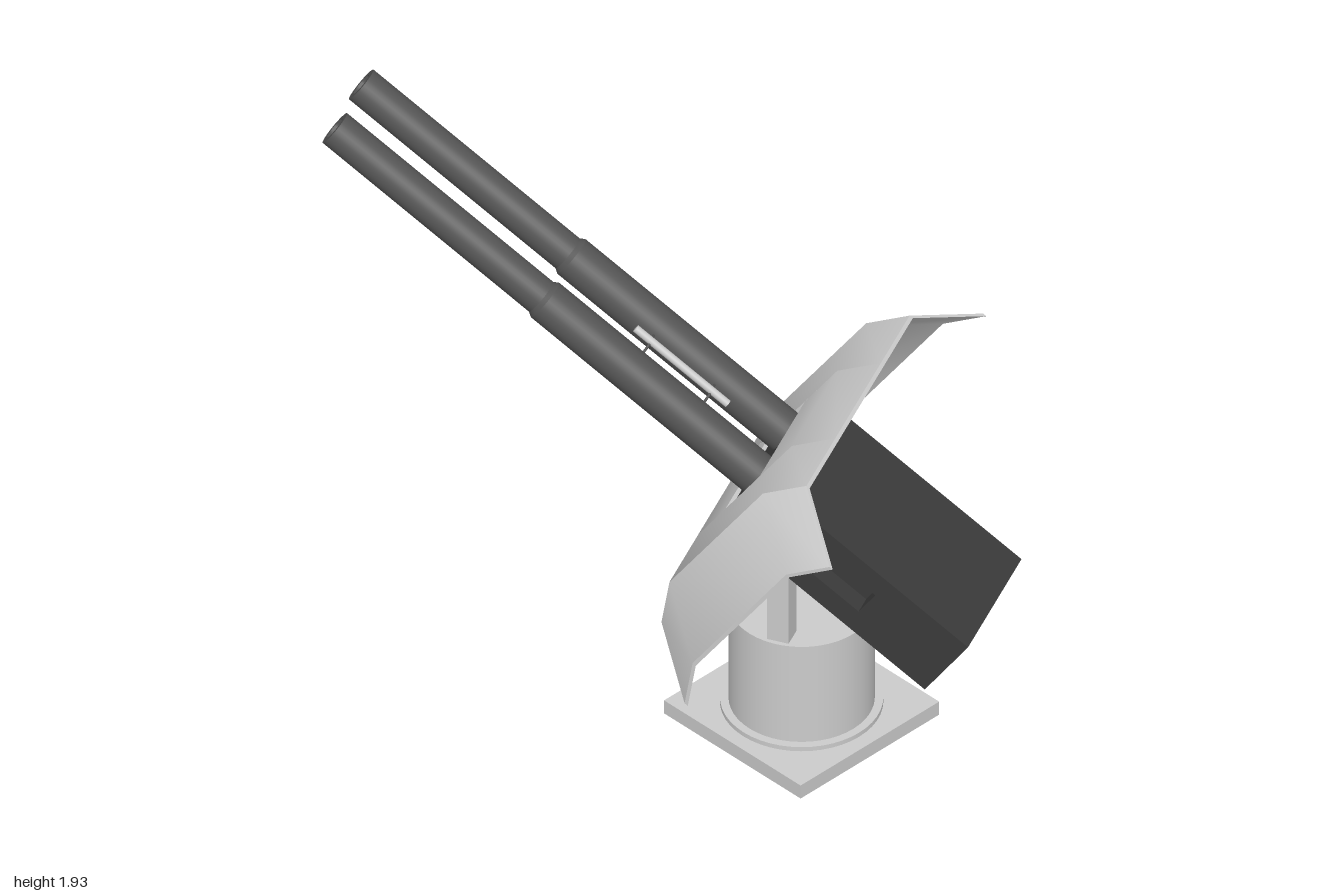
import * as THREE from 'three';
import { toCreasedNormals } from 'three/addons/utils/BufferGeometryUtils.js';

const grey = new THREE.MeshStandardMaterial({ color: 0xcccccc });
const plate = new THREE.MeshStandardMaterial({ color: 0xcccccc, side: THREE.DoubleSide });
const barrelDark = new THREE.MeshStandardMaterial({ color: 0x555555 });
const boxDark = new THREE.MeshStandardMaterial({ color: 0x3a3a3a });

function add(parent, name, geometry, material, x = 0, y = 0, z = 0) {
  const mesh = new THREE.Mesh(geometry, material);
  mesh.name = name;
  mesh.position.set(x, y, z);
  parent.add(mesh);
  return mesh;
}

// Side outline (z, y) extruded across from x0 to x1
function across(shape, x0, x1) {
  return new THREE.ExtrudeGeometry(shape, { depth: x1 - x0, bevelEnabled: false })
    .rotateY(-Math.PI / 2).translate(x1, 0, 0);
}

// Thin bent sheet following a list of (z, y) points
function sheet(points, x0, x1) {
  const outer = points.map(([z, y]) => new THREE.Vector2(z, y));
  const inner = points.map(([z, y]) => new THREE.Vector2(z - 0.01, y - 0.007)).reverse();
  return across(new THREE.Shape([...outer, ...inner]), x0, x1);
}

const rect = (Type, u0, u1, v0, v1) => new Type([
  new THREE.Vector2(u0, v0), new THREE.Vector2(u1, v0),
  new THREE.Vector2(u1, v1), new THREE.Vector2(u0, v1)]);

function buildBase() {
  const base = new THREE.Group();
  base.name = 'base';
  const disc = (name, r, y0, y1) =>
    add(base, name, new THREE.CylinderGeometry(r, r, y1 - y0, 48), grey, 0, (y0 + y1) / 2, 0);
  disc('footDisc', 0.238, 0, 0.022);
  add(base, 'squarePlate', new THREE.BoxGeometry(0.566, 0.048, 0.566), grey, 0, 0.046, 0);
  disc('baseRing', 0.238, 0.07, 0.085);
  disc('pedestal', 0.213, 0.085, 0.435);
  return base;
}

function buildShield() {
  const shield = new THREE.Group();
  shield.name = 'shield';
  const [a, b, c, d] = [[0.275, 0.6], [0.25, 0.755], [-0.04, 1.16], [-0.175, 1.225]];
  const low = [0.166, 0.872], high = [0.06, 1.02];
  const panel = (name, points, x0, x1) =>
    add(shield, name, toCreasedNormals(sheet(points, x0, x1), 0.6), plate);

  // Centre panel, leaving a slot for the barrels
  panel('shieldRight', [a, b, c, d], -0.43, -0.19);
  panel('shieldLeft', [a, b, c, d], 0.19, 0.43);
  panel('shieldBelowSlot', [a, b, low], -0.19, 0.19);
  panel('shieldAboveSlot', [high, c, d], -0.19, 0.19);

  // Wings swept back and down
  for (const side of [-1, 1]) {
    const g = side > 0 ? sheet([a, b, c, d], 0.43, 0.64) : sheet([a, b, c, d], -0.64, -0.43);
    const p = g.attributes.position;
    for (let i = 0; i < p.count; i++) {
      const t = (Math.abs(p.getX(i)) - 0.43) / 0.21;
      p.setY(i, p.getY(i) - 0.105 * t);
      p.setZ(i, p.getZ(i) - 0.15 * t);
    }
    add(shield, side > 0 ? 'wingLeft' : 'wingRight', toCreasedNormals(g, 0.6), plate);
  }
  return shield;
}

function buildGun() {
  const gun = new THREE.Group();
  gun.name = 'gun';

  // Breech box with a recessed slot in each side
  add(gun, 'breechCore', across(rect(THREE.Shape, -0.671, 0.1, -0.147, 0.087), -0.16, 0.16), boxDark);
  for (const [x0, x1] of [[-0.223, -0.16], [0.16, 0.223]]) {
    const side = rect(THREE.Shape, -0.671, 0.1, -0.147, 0.087);
    side.holes.push(rect(THREE.Path, -0.37, 0, -0.075, 0.015));
    add(gun, 'breechSide', across(side, x0, x1), boxDark);
  }

  // Twin hollow barrels with thicker sleeves
  const profile = [[0, 0.05], [0.065, 0.05], [0.065, 0.915], [0.056, 0.93], [0.056, 1.712],
    [0.036, 1.712], [0.036, 1.5], [0, 1.5]].map(([r, u]) => new THREE.Vector2(r, u));
  const barrel = toCreasedNormals(new THREE.LatheGeometry(profile, 32).rotateX(Math.PI / 2), 0.5);
  for (const x of [-0.11, 0.11]) add(gun, 'barrel', barrel, barrelDark, x, -0.01, 0);

  // Sight rod held between the barrels by thin struts
  add(gun, 'sightRod', new THREE.CylinderGeometry(0.012, 0.012, 0.35, 16).rotateX(Math.PI / 2),
    grey, 0, 0.03, 0.475);
  for (const z of [0.36, 0.59]) {
    for (const s of [-1, 1]) {
      const path = new THREE.LineCurve3(new THREE.Vector3(0, 0.03, z), new THREE.Vector3(s * 0.06, 0.005, z));
      add(gun, 'sightStrut', new THREE.TubeGeometry(path, 1, 0.004, 8), barrelDark);
    }
  }
  return gun;
}

export function createModel() {
  const model = new THREE.Group();
  model.name = 'gunTurret';
  model.position.set(0.36, 0, -0.01);
  model.add(buildBase());

  // Everything above the pedestal turns together
  const turret = new THREE.Group();
  turret.name = 'turret';
  turret.rotation.y = THREE.MathUtils.degToRad(-65);
  model.add(turret);
  for (const x of [-0.165, 0.165]) {
    add(turret, 'supportPost', new THREE.BoxGeometry(0.067, 0.36, 0.067), grey, x, 0.6, 0);
  }
  turret.add(buildShield());

  const gun = buildGun();
  gun.position.y = 0.907;
  gun.rotation.x = THREE.MathUtils.degToRad(-35);
  turret.add(gun);

  const root = new THREE.Group();
  root.name = 'model';
  root.add(model);
  return root;
}
